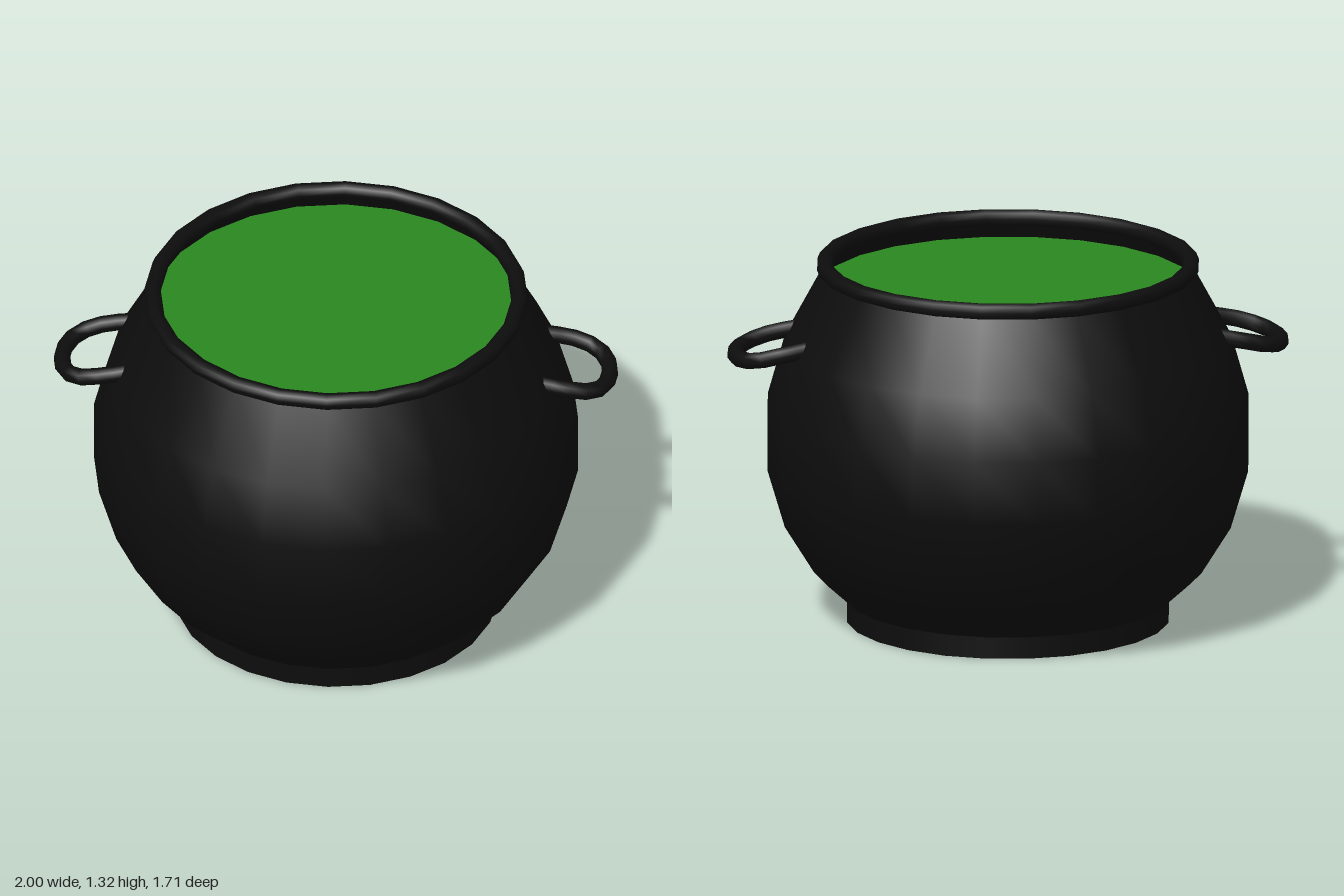
import * as THREE from 'three';

const SIDES = 24;

export function createModel() {
  const group = new THREE.Group();
  const iron = new THREE.MeshStandardMaterial({ color: 0x0d0d0d, side: THREE.DoubleSide });
  const green = new THREE.MeshStandardMaterial({ color: 0x2a871f });

  const add = (name, geometry, material = iron) => {
    const mesh = new THREE.Mesh(geometry, material);
    mesh.name = name;
    group.add(mesh);
    return mesh;
  };

  // Round belly, open at the top
  const profile = [
    [0.57, 0.075], [0.69, 0.185], [0.795, 0.355], [0.857, 0.565],
    [0.857, 0.79], [0.795, 1.01], [0.655, 1.27],
  ].map(([r, y]) => new THREE.Vector2(r, y));
  add('body', new THREE.LatheGeometry(profile, SIDES));

  // Short foot ring with a flat underside
  add('foot', new THREE.CylinderGeometry(0.573, 0.573, 0.08, SIDES)).position.y = 0.04;

  // Rolled lip
  const rim = add('rim', new THREE.TorusGeometry(0.65, 0.03, 8, SIDES));
  rim.rotation.x = Math.PI / 2;
  rim.position.y = 1.29;

  // Liquid surface just under the lip
  const liquid = add('liquid', new THREE.CircleGeometry(0.665, SIDES), green);
  liquid.rotation.x = -Math.PI / 2;
  liquid.position.y = 1.215;

  // Drooping loop handles, one on each side
  const half = [[0.72, 1.045, 0.155], [0.83, 1.025, 0.16], [0.915, 1.003, 0.135], [0.957, 0.993, 0.075]];
  const path = [...half, [0.97, 0.99, 0], ...half.map(([x, y, z]) => [x, y, -z]).reverse()];
  for (const [name, s] of [['leftHandle', 1], ['rightHandle', -1]]) {
    const curve = new THREE.CatmullRomCurve3(path.map(([x, y, z]) => new THREE.Vector3(s * x, y, s * z)));
    add(name, new THREE.TubeGeometry(curve, 12, 0.03, 8));
  }

  return group;
}
